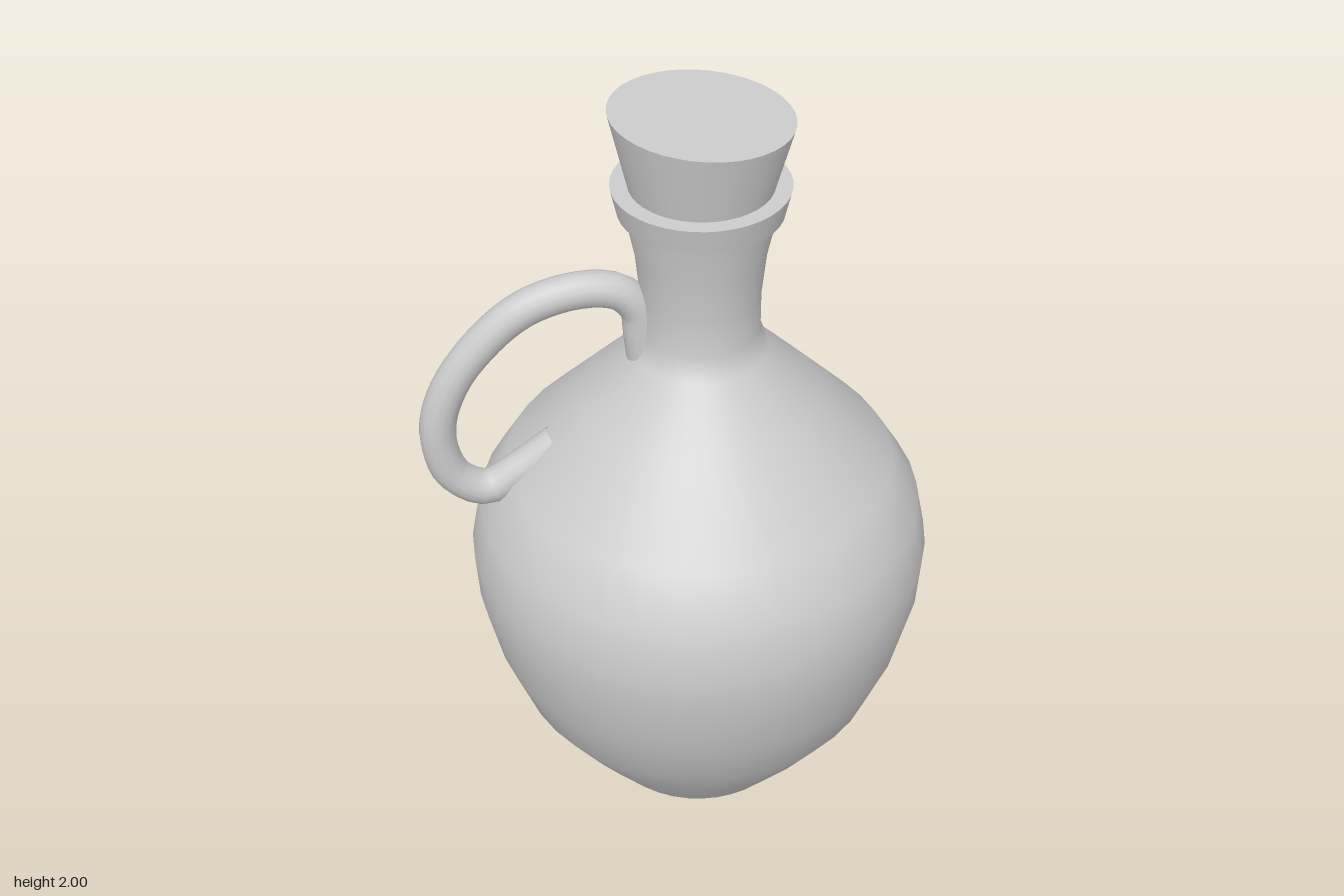
import * as THREE from 'three';

const SEGMENTS = 40;
const AXIS_X = 0.057; // the body sits off-centre to make room for the handle

const material = new THREE.MeshStandardMaterial({ color: 0xcccccc });
const openMaterial = new THREE.MeshStandardMaterial({ color: 0xcccccc, side: THREE.DoubleSide });

function part(name, geometry, mat = material) {
  const mesh = new THREE.Mesh(geometry, mat);
  mesh.name = name;
  return mesh;
}

function lathe(points) {
  return new THREE.LatheGeometry(points.map(([r, y]) => new THREE.Vector2(r, y)), SEGMENTS);
}

export function createModel() {
  const group = new THREE.Group();
  group.name = 'stopperedJug';

  const vessel = new THREE.Group();
  vessel.name = 'vessel';
  vessel.position.x = AXIS_X;
  group.add(vessel);

  // Body, shoulder and flaring neck
  vessel.add(part('body', lathe([
    [0.262, 0], [0.38, 0.15], [0.485, 0.3], [0.547, 0.46], [0.585, 0.62], [0.594, 0.75],
    [0.568, 0.88], [0.495, 1.0], [0.305, 1.2], [0.17, 1.34], [0.149, 1.4], [0.149, 1.5],
    [0.16, 1.61], [0.187, 1.74],
  ]), openMaterial));

  // Flat foot
  const base = part('base', new THREE.CircleGeometry(0.262, SEGMENTS));
  base.rotation.x = Math.PI / 2;
  vessel.add(base);

  // Collar around the mouth: slanted wall with flat rings above and below
  vessel.add(part('collarWall', lathe([[0.202, 1.73], [0.218, 1.8]])));
  const rim = part('collarTop', new THREE.RingGeometry(0.15, 0.218, SEGMENTS));
  rim.rotation.x = -Math.PI / 2;
  rim.position.y = 1.8;
  const underside = part('collarUnderside', new THREE.RingGeometry(0.15, 0.202, SEGMENTS));
  underside.rotation.x = Math.PI / 2;
  underside.position.y = 1.73;
  vessel.add(rim, underside);

  // Tapered stopper with a tilted top face
  const stopperGeometry = new THREE.CylinderGeometry(0.222, 0.166, 0.24, SEGMENTS);
  const pos = stopperGeometry.attributes.position;
  for (let i = 0; i < pos.count; i++) {
    if (pos.getY(i) > 0) pos.setY(i, 0.12 - (pos.getX(i) + 0.222) * 0.076);
  }
  stopperGeometry.computeBoundingSphere();
  const stopper = part('stopper', stopperGeometry);
  stopper.position.y = 1.88;
  vessel.add(stopper);

  // Loop handle from the neck to the shoulder
  const path = new THREE.CatmullRomCurve3([
    [-0.08, 1.3], [-0.09, 1.39], [-0.1, 1.47], [-0.15, 1.523], [-0.25, 1.538], [-0.39, 1.497],
    [-0.53, 1.365], [-0.595, 1.24], [-0.607, 1.14], [-0.575, 1.03], [-0.495, 0.977],
    [-0.41, 1.02], [-0.31, 1.09],
  ].map(([x, y]) => new THREE.Vector3(x, y, 0)));
  group.add(part('handle', new THREE.TubeGeometry(path, 48, 0.046, 14), openMaterial));

  return group;
}
